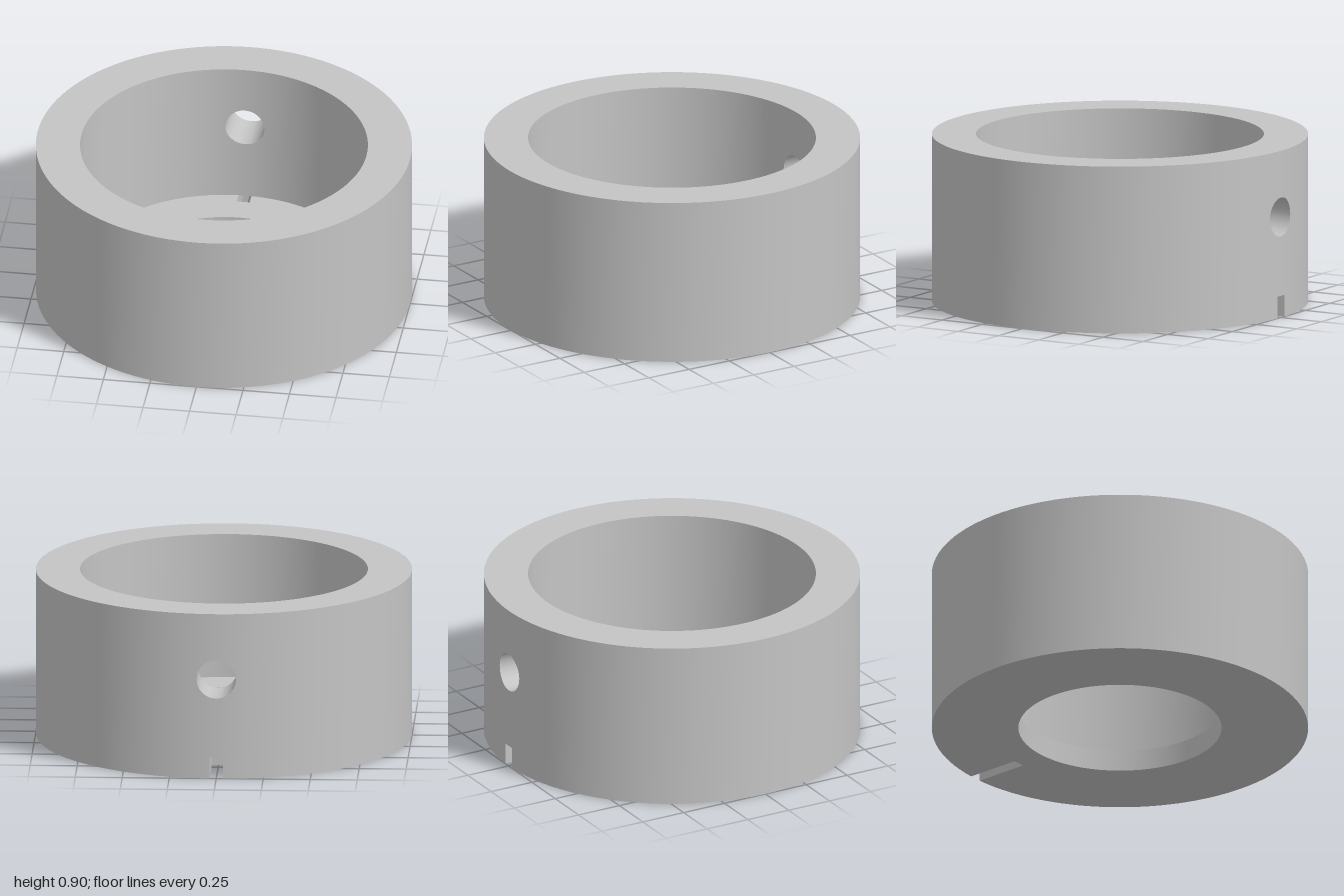
import * as THREE from 'three';
import { toCreasedNormals } from 'three/addons/utils/BufferGeometryUtils.js';

const OUTER = 1, INNER = 0.765, BORE = 0.54;   // radii
const HEIGHT = 0.9, FLOOR = 0.117;             // collar height, floor thickness
const HOLE_R = 0.105, HOLE_Y = 0.543;          // round cross hole at the back
const SLOT = 0.035, SLOT_Z = 0.7;              // slot half width, depth of its inner end

export function createModel() {
  const positions = [];
  const quad = (a, b, c, d) => {
    for (const p of [a, b, c, a, c, d]) positions.push(...p);
  };

  // Columns across the back keep a constant x, so hole and slot have parallel sides
  const xs = [-SLOT, SLOT];
  for (let k = -6; k <= 6; k++) xs.push(HOLE_R * Math.sin((k * Math.PI) / 12));
  xs.sort((a, b) => a - b);
  const backPoint = (x) => ([r, y]) => [x, y, -Math.sqrt(r * r - x * x)];

  // The other columns run round the front by angle
  const frontPoint = (t) => ([r, y]) => {
    const start = Math.asin(HOLE_R / r);
    const a = start + t * 2 * (Math.PI - start);
    return [r * Math.sin(a), y, -r * Math.cos(a)];
  };

  // Joins a closed [radius, height] profile from one column to the next
  const sweep = (p0, p1, profile0, profile1) => {
    profile0.forEach((_, i) => {
      const j = (i + 1) % profile0.length;
      quad(p0(profile0[i]), p1(profile1[i]), p1(profile1[j]), p0(profile0[j]));
    });
  };

  // Plain stretch: wall with an inward floor flange
  const plain = [[OUTER, HEIGHT], [OUTER, 0], [BORE, 0], [BORE, FLOOR], [INNER, FLOOR], [INNER, HEIGHT]];
  const N = 128;
  for (let i = 0; i < N; i++) sweep(frontPoint(i / N), frontPoint((i + 1) / N), plain, plain);

  // Back stretch: the wall splits round the hole, and the slot cuts under it
  const holeHalf = (x) => Math.sqrt(Math.max(0, HOLE_R ** 2 - x * x));
  const slotEnd = (x) => Math.hypot(SLOT_Z, x);
  const aboveHole = (x) => {
    const y = HOLE_Y + holeHalf(x);
    return [[OUTER, HEIGHT], [OUTER, y], [INNER, y], [INNER, HEIGHT]];
  };
  const belowHole = (x) => {
    const y = HOLE_Y - holeHalf(x);
    return [[OUTER, y], [OUTER, 0], [BORE, 0], [BORE, FLOOR], [INNER, FLOOR], [INNER, y]];
  };
  const aboveSlot = (x) => {
    const y = HOLE_Y - holeHalf(x);
    return [[OUTER, y], [OUTER, FLOOR], [INNER, FLOOR], [INNER, y]];
  };
  const insideSlot = (x) => [[slotEnd(x), FLOOR], [slotEnd(x), 0], [BORE, 0], [BORE, FLOOR]];
  for (let i = 0; i < xs.length - 1; i++) {
    const x0 = xs[i], x1 = xs[i + 1];
    const inSlot = Math.abs((x0 + x1) / 2) < SLOT;
    const parts = inSlot ? [aboveHole, aboveSlot, insideSlot] : [aboveHole, belowHole];
    for (const part of parts) sweep(backPoint(x0), backPoint(x1), part(x0), part(x1));
  }

  // Side walls of the slot
  for (const x of [SLOT, -SLOT]) {
    const p = backPoint(x), end = slotEnd(x);
    const corners = [p([OUTER, 0]), p([end, 0]), p([end, FLOOR]), p([OUTER, FLOOR])];
    if (x < 0) corners.reverse();
    quad(...corners);
  }

  let geometry = new THREE.BufferGeometry();
  geometry.setAttribute('position', new THREE.Float32BufferAttribute(positions, 3));
  geometry = toCreasedNormals(geometry, Math.PI / 6);

  const grey = new THREE.MeshStandardMaterial({ color: 0xc4c4c4 });
  grey.name = 'light grey';
  const collar = new THREE.Mesh(geometry, grey);
  collar.name = 'collar';

  const group = new THREE.Group();
  group.name = 'slotted collar';
  group.add(collar);
  return group;
}
